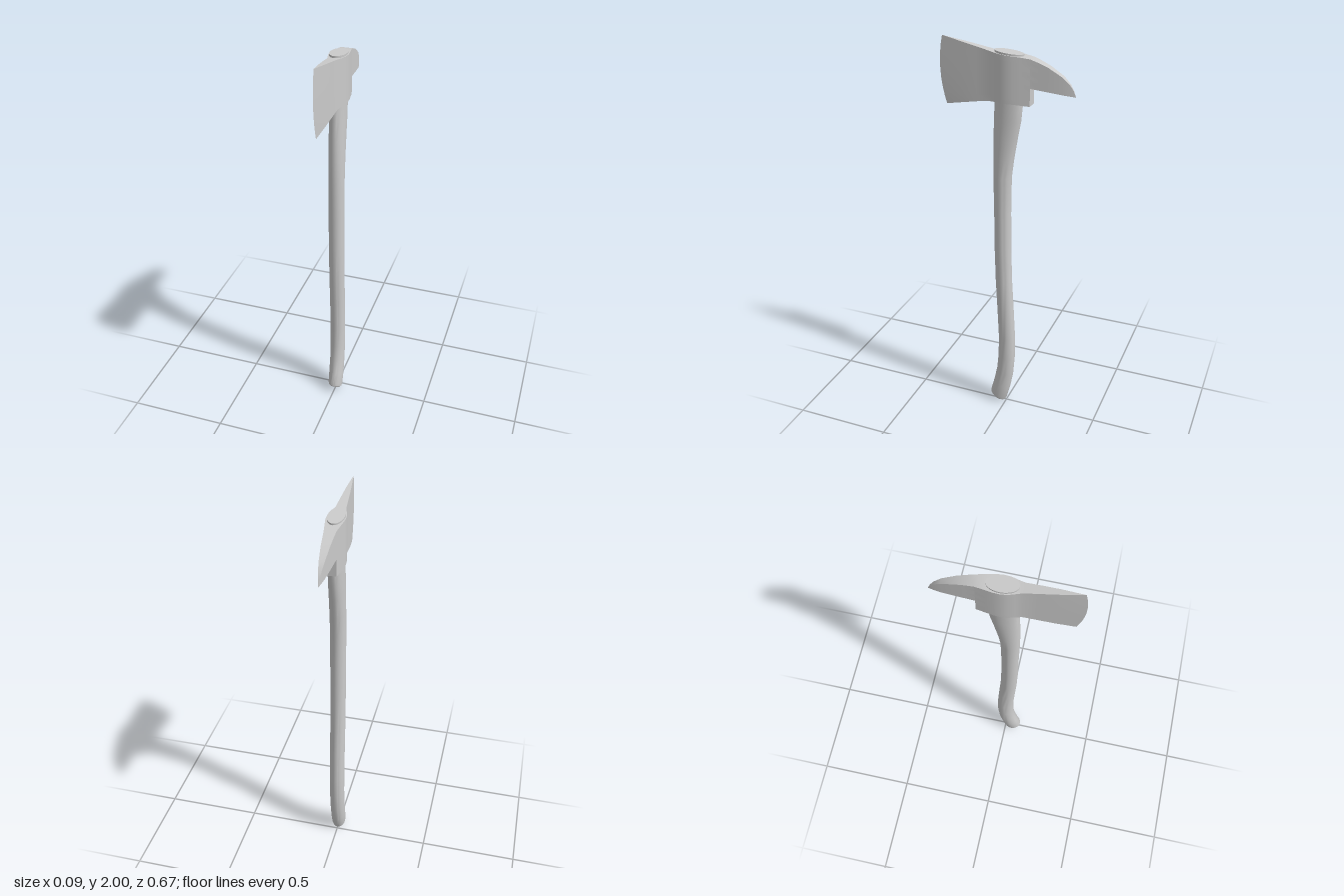
import * as THREE from 'three';
import { toCreasedNormals } from 'three/addons/utils/BufferGeometryUtils.js';

// Skin a list of closed rings of [x, y, z] points; optionally fan-cap both ends.
function loft(rings, capped) {
  const n = rings[0].length, pos = rings.flat(), idx = [];
  for (let k = 0; k < rings.length - 1; k++) {
    for (let i = 0; i < n; i++) {
      const a = k * n + i, b = k * n + (i + 1) % n;
      idx.push(a, b, b + n, a, b + n, a + n);
    }
  }
  if (capped) {
    for (const k of [0, rings.length - 1]) {
      const c = pos.length;
      pos.push([0, 1, 2].map(j => rings[k].reduce((s, p) => s + p[j], 0) / n));
      for (let i = 0; i < n; i++) {
        const a = k * n + i, b = k * n + (i + 1) % n;
        idx.push(c, ...(k ? [a, b] : [b, a]));
      }
    }
  }
  const g = new THREE.BufferGeometry();
  g.setAttribute('position', new THREE.Float32BufferAttribute(pos.flat(), 3));
  g.setIndex(idx);
  return toCreasedNormals(g, 0.5);
}

// Oval ring spanning a front and a back point of the handle profile.
function ovalRing([fz, fy, bz, by, w]) {
  return Array.from({ length: 24 }, (_, i) => {
    const a = i / 24 * Math.PI * 2, s = Math.sin(a) / 2;
    return [w * Math.cos(a), (fy + by) / 2 + s * (by - fy), (fz + bz) / 2 + s * (bz - fz)];
  });
}

// Slab section of the head: both sides have rows, bulged along z for the curved edge.
function slabRing([zTop, yTop, zBot, yBot, w, bulge = 0]) {
  const rows = 8, side = [];
  for (let i = 0; i <= rows; i++) {
    const t = i / rows, u = 2 * t - 1;
    side.push([w, yBot + (yTop - yBot) * t, zBot + (zTop - zBot) * t + bulge * (1 - u * u)]);
  }
  return [...side, ...side.map(([x, y, z]) => [-x, y, z]).reverse()];
}

export function createModel() {
  const group = new THREE.Group();
  const material = new THREE.MeshStandardMaterial({ color: 0xcccccc });
  const add = (name, geometry) => {
    const mesh = new THREE.Mesh(geometry, material);
    mesh.name = name;
    group.add(mesh);
  };

  // Curved handle, bottom to top: front z, front y, back z, back y, half width
  add('handle', loft([
    [0.078, 0.036, 0.018, 0.002, 0.028],
    [0.087, 0.048, 0.006, 0.006, 0.035],
    [0.086, 0.065, -0.002, 0.022, 0.038],
    [0.069, 0.13, -0.02, 0.09, 0.039],
    [0.052, 0.21, -0.037, 0.18, 0.039],
    [0.043, 0.3, -0.046, 0.29, 0.039],
    [0.041, 0.42, -0.047, 0.42, 0.039],
    [0.049, 0.6, -0.038, 0.6, 0.039],
    [0.057, 0.76, -0.029, 0.76, 0.039],
    [0.062, 0.95, -0.024, 0.95, 0.039],
    [0.063, 1.15, -0.023, 1.15, 0.039],
    [0.066, 1.34, -0.026, 1.34, 0.039],
    [0.066, 1.44, -0.039, 1.44, 0.039],
    [0.064, 1.55, -0.058, 1.55, 0.039],
    [0.061, 1.63, -0.073, 1.63, 0.039],
    [0.058, 1.72, -0.082, 1.72, 0.039],
    [0.057, 1.96, -0.085, 1.947, 0.039],
  ].map(ovalRing), true));

  // Head, pick tip to blade edge: top z, top y, bottom z, bottom y, half width, bulge
  add('axeHead', loft([
    [-0.335, 1.776, -0.335, 1.774, 0],
    [-0.325, 1.803, -0.325, 1.776, 0.003],
    [-0.308, 1.83, -0.308, 1.778, 0.007],
    [-0.275, 1.862, -0.275, 1.782, 0.013],
    [-0.21, 1.901, -0.21, 1.79, 0.02],
    [-0.165, 1.92, -0.165, 1.795, 0.024],
    [-0.125, 1.934, -0.125, 1.8, 0.028],
    [-0.125, 1.934, -0.125, 1.715, 0.028], // back wall of the eye
    [-0.08, 1.94, -0.08, 1.718, 0.036],
    [-0.045, 1.943, -0.045, 1.72, 0.042],
    [-0.015, 1.945, -0.015, 1.72, 0.044],
    [0.015, 1.947, 0.015, 1.72, 0.041],
    [0.045, 1.949, 0.045, 1.72, 0.032],
    [0.075, 1.954, 0.075, 1.719, 0.024],
    [0.14, 1.967, 0.14, 1.709, 0.019],
    [0.22, 1.982, 0.215, 1.694, 0.012, 0.008],
    [0.32, 2.0, 0.305, 1.675, 0, 0.022],
  ].map(slabRing), false));

  return group;
}
